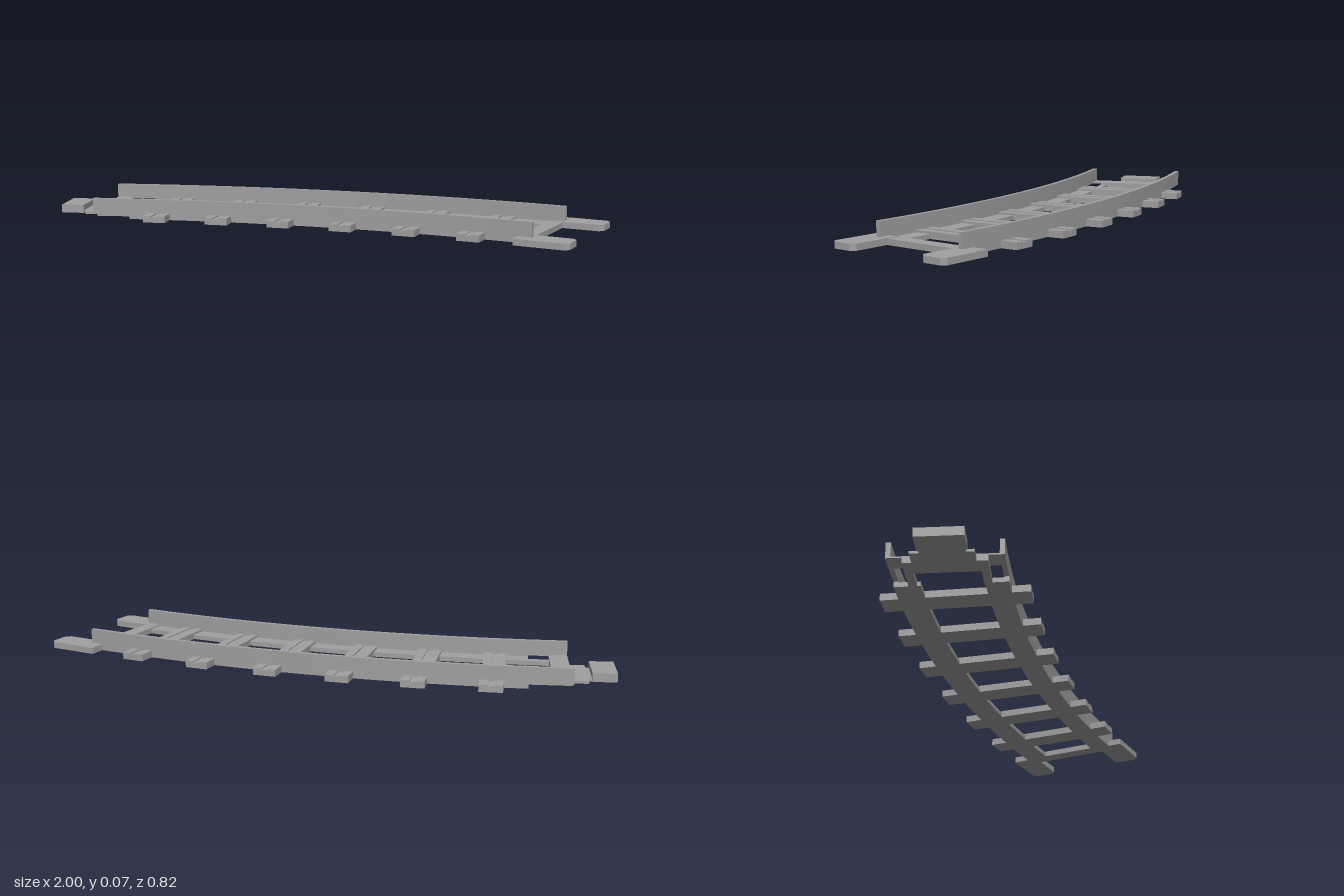
import * as THREE from 'three';

// The track bends round a centre at (CX, CZ); angles run from the straight end.
const CX = -0.85, CZ = 4.08, RI = 4.08, RO = 4.44;
const END = THREE.MathUtils.degToRad(22.5);

export function createModel() {
  const model = new THREE.Group();
  model.name = 'curvedTrack';
  const grey = new THREE.MeshStandardMaterial({ color: 0xa0a0a0 });
  grey.name = 'grey';

  const add = (geo, name, parent = model) => {
    const mesh = new THREE.Mesh(geo, grey);
    mesh.name = name;
    parent.add(mesh);
    return mesh;
  };

  // Flat outline (x, -z) raised from y0 to y1
  const slab = (pts, y0, y1) => {
    const shape = new THREE.Shape(pts.map(([x, y]) => new THREE.Vector2(x, y)));
    return new THREE.ExtrudeGeometry(shape, { depth: y1 - y0, bevelEnabled: false })
      .rotateX(-Math.PI / 2).translate(0, y0, 0);
  };

  // Bar following the bend between two radii and two angles
  const arcBar = (name, r0, r1, a0, a1, y0, y1) => {
    const pts = [], n = 20;
    const put = (r, a) => pts.push([CX + r * Math.sin(a), r * Math.cos(a) - CZ]);
    for (let i = 0; i <= n; i++) put(r0, a0 + (a1 - a0) * i / n);
    for (let i = n; i >= 0; i--) put(r1, a0 + (a1 - a0) * i / n);
    add(slab(pts, y0, y1), name);
  };

  // Group turned to a track angle: local x runs along the track, -z is the radius
  const station = (name, angle) => {
    const g = new THREE.Group();
    g.name = name;
    g.position.set(CX, 0, CZ);
    g.rotation.y = -angle;
    model.add(g);
    return g;
  };
  const block = (parent, name, x0, x1, r0, r1, y0, y1) =>
    add(new THREE.BoxGeometry(x1 - x0, y1 - y0, r1 - r0)
      .translate((x0 + x1) / 2, (y0 + y1) / 2, -(r0 + r1) / 2), name, parent);

  // Rails: thin upright wall with a flat flange inside; raised over the sockets
  const SOCKET = 0.14 / 4.26;
  for (const [side, w0, w1, f0, f1] of [
    ['outer', RO - 0.016, RO, RO - 0.085, RO - 0.008],
    ['inner', RI, RI + 0.016, RI + 0.008, RI + 0.075],
  ]) {
    arcBar(side + 'RailWall', w0, w1, SOCKET, END, 0, 0.073);
    arcBar(side + 'SocketWall', w0, w1, 0, SOCKET, 0.019, 0.073);
    arcBar(side + 'RailFlange', f0, f1, SOCKET, END - 0.003, 0, 0.016);
  }

  // Sleepers with two low ribs along the top
  for (let i = 0; i < 6; i++) {
    const g = station('sleeper', THREE.MathUtils.degToRad(3.43 + 3.246 * i));
    block(g, 'sleeperBase', -0.04, 0.04, 4.02, 4.5, 0, 0.02);
    for (const s of [-1, 1])
      block(g, 'sleeperRib', s * 0.025 - 0.015, s * 0.025 + 0.015, 4.02, 4.5, 0.019, 0.024);
  }

  // Straight end: cross plate, socket strips and coupling plug
  const start = station('startEnd', 0);
  block(start, 'endPlate', 0, 0.065, RI + 0.05, RO - 0.05, 0, 0.019);
  block(start, 'endPlateTop', 0, 0.065, RI, RO, 0.019, 0.024);
  block(start, 'socketStrip', 0.06, 0.15, RO - 0.077, RO - 0.05, 0, 0.016);
  block(start, 'socketStrip', 0.06, 0.15, RI + 0.05, RI + 0.075, 0, 0.016);
  block(start, 'plugBase', -0.055, 0.005, 4.165, 4.36, 0, 0.009);
  block(start, 'plugNeck', -0.07, -0.05, 4.19, 4.33, 0, 0.009);
  block(start, 'plug', -0.15, -0.067, 4.185, 4.335, 0, 0.03);

  // Turned end: cross bar and two tongues with clipped corners
  const end = station('turnedEnd', END);
  block(end, 'endBar', -0.055, -0.002, RI + 0.01, RO - 0.01, 0, 0.02);
  for (const r of [RI - 0.003, RO + 0.01]) {
    const x0 = -0.047, x1 = 0.142, h = 0.048, c = 0.015;
    add(slab([[x0, r - h], [x1 - c, r - h], [x1, r - h + c],
      [x1, r + h - c], [x1 - c, r + h], [x0, r + h]], 0, 0.022), 'tongue', end);
  }
  return model;
}
